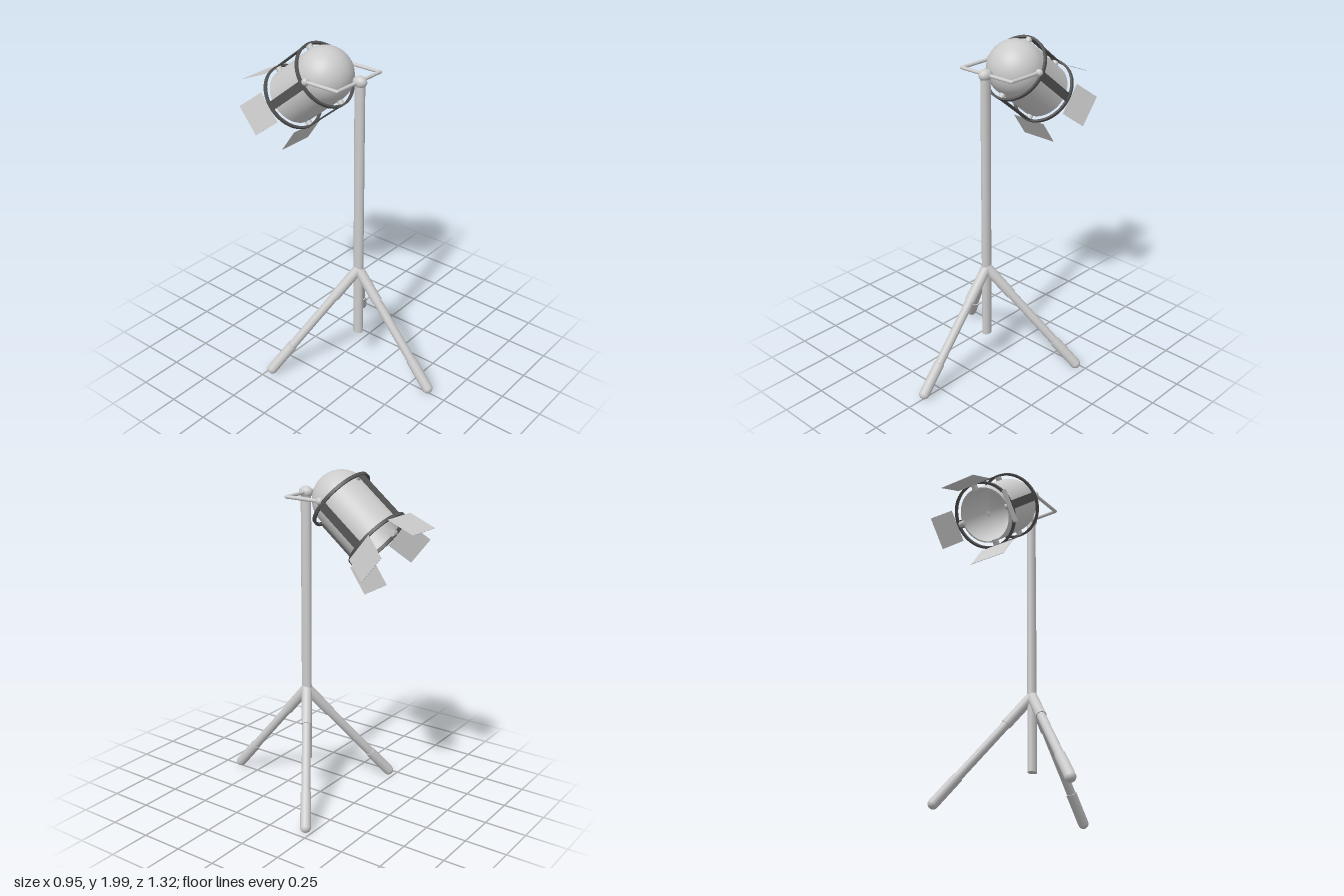
import * as THREE from 'three';

const grey = new THREE.MeshStandardMaterial({ color: 0xcccccc });
const greyDouble = new THREE.MeshStandardMaterial({ color: 0xcccccc, side: THREE.DoubleSide });
const dark = new THREE.MeshStandardMaterial({ color: 0x555555 });
const V = (x, y, z) => new THREE.Vector3(x, y, z);

function add(parent, name, geometry, material = grey) {
  const mesh = new THREE.Mesh(geometry, material);
  mesh.name = name;
  parent.add(mesh);
  return mesh;
}

// Round rod between two points
function rod(parent, name, a, b, radius) {
  const mesh = add(parent, name, new THREE.CylinderGeometry(radius, radius, a.distanceTo(b), 24));
  mesh.position.copy(a).lerp(b, 0.5);
  mesh.quaternion.setFromUnitVectors(V(0, 1, 0), b.clone().sub(a).normalize());
  return mesh;
}

function ball(parent, name, p, radius) {
  const mesh = add(parent, name, new THREE.SphereGeometry(radius, 24, 16));
  mesh.position.copy(p);
  return mesh;
}

function buildStand() {
  const stand = new THREE.Group();
  stand.name = 'stand';

  // Centre pole, slightly deeper than wide
  const pole = rod(stand, 'pole', V(0, 0.21, 0.1), V(0, 1.84, 0.1), 0.025);
  pole.scale.z = 1.27;
  ball(stand, 'poleBall', V(0, 1.85, 0.1), 0.034).scale.z = 1.26;

  // Three telescopic legs: thick collar, thinner tube, thick foot
  const apex = V(0, 0.665, 0.1);
  for (const foot of [V(0, 0.032, 0.63), V(0.445, 0.032, -0.215), V(-0.445, 0.032, -0.215)]) {
    const at = (t) => apex.clone().lerp(foot, t);
    const leg = new THREE.Group();
    leg.name = 'leg';
    rod(leg, 'legCollar', at(0), at(0.27), 0.031);
    rod(leg, 'legTube', at(0.25), at(0.78), 0.026);
    rod(leg, 'legFoot', at(0.76), at(1), 0.031);
    ball(leg, 'legTip', foot, 0.031);
    ball(leg, 'legTop', apex, 0.031);
    stand.add(leg);
  }
  return stand;
}

function buildYoke() {
  const yoke = new THREE.Group();
  yoke.name = 'yoke';
  const y = 1.85, w = 0.185;
  rod(yoke, 'yokeBar', V(-w, y, 0.095), V(w, y, 0.095), 0.01);
  for (const s of [-1, 1]) {
    rod(yoke, 'yokeArm', V(s * w, y, 0.095), V(s * w, y, -0.127), 0.01);
    ball(yoke, 'yokeCorner', V(s * w, y, 0.095), 0.01);
    ball(yoke, 'pivotBall', V(s * w, y, -0.127), 0.021);
  }
  return yoke;
}

// Lamp head: local +y is the beam direction, local +z is its upper side
function buildHead() {
  const head = new THREE.Group();
  head.name = 'lampHead';
  const R = 0.163, L = 0.305;

  // Hollow shell: domed back, straight barrel, open front
  const dome = (r, n = 20) => Array.from({ length: n + 1 }, (_, i) => {
    const a = (i / n) * Math.PI / 2;
    return new THREE.Vector2(r * Math.sin(a), -r * Math.cos(a));
  });
  const shell = (r) => [...dome(r), new THREE.Vector2(r, 0.02), new THREE.Vector2(r, L)];
  add(head, 'shellOuter', new THREE.LatheGeometry(shell(R), 64), greyDouble);
  add(head, 'shellInner', new THREE.LatheGeometry(shell(R - 0.008), 64), greyDouble);
  const rim = add(head, 'shellRim', new THREE.RingGeometry(R - 0.008, R, 64), greyDouble);
  rim.rotation.x = -Math.PI / 2;
  rim.position.y = L;

  // Two bands around the barrel
  const band = new THREE.Shape().absarc(0, 0, 0.198, 0, Math.PI * 2);
  band.holes.push(new THREE.Path().absarc(0, 0, 0.185, 0, Math.PI * 2, true));
  for (const s of [0, 0.306]) {
    const geo = new THREE.ExtrudeGeometry(band, { depth: 0.018, bevelEnabled: false, curveSegments: 40 });
    geo.translate(0, 0, -0.009).rotateX(-Math.PI / 2);
    add(head, 'band', geo, dark).position.y = s;
  }

  // Each quarter turn: lengthwise strip, spacer posts and a flared shutter
  for (let i = 0; i < 4; i++) {
    const side = new THREE.Group();
    side.name = 'shutterSide';
    side.rotation.y = i * Math.PI / 2;
    head.add(side);

    add(side, 'strip', new THREE.BoxGeometry(0.05, 0.306, 0.006), dark).position.set(0, 0.153, 0.191);
    for (const s of [0, 0.3]) rod(side, 'spacerPost', V(0, s, 0.15), V(0, s, 0.187), 0.018);

    const vertical = i % 2 === 0;
    const r0 = vertical ? 0.186 : 0.197, r1 = vertical ? 0.233 : 0.254;
    const s0 = 0.315, s1 = vertical ? 0.476 : 0.465;
    const width = vertical ? 0.227 : 0.19;
    const flap = add(side, 'shutter',
      new THREE.BoxGeometry(width, Math.hypot(r1 - r0, s1 - s0), 0.002), greyDouble);
    // top and bottom shutters sit a touch to the right
    flap.position.set(i === 0 ? -0.011 : i === 2 ? 0.011 : 0, (s0 + s1) / 2, (r0 + r1) / 2);
    flap.rotation.x = Math.atan2(r1 - r0, s1 - s0);
  }

  head.position.set(-0.002, 1.833, -0.141);
  head.rotation.x = -2.245;
  return head;
}

export function createModel() {
  const model = new THREE.Group();
  model.name = 'studioLamp';
  model.add(buildStand(), buildYoke(), buildHead());
  return model;
}
